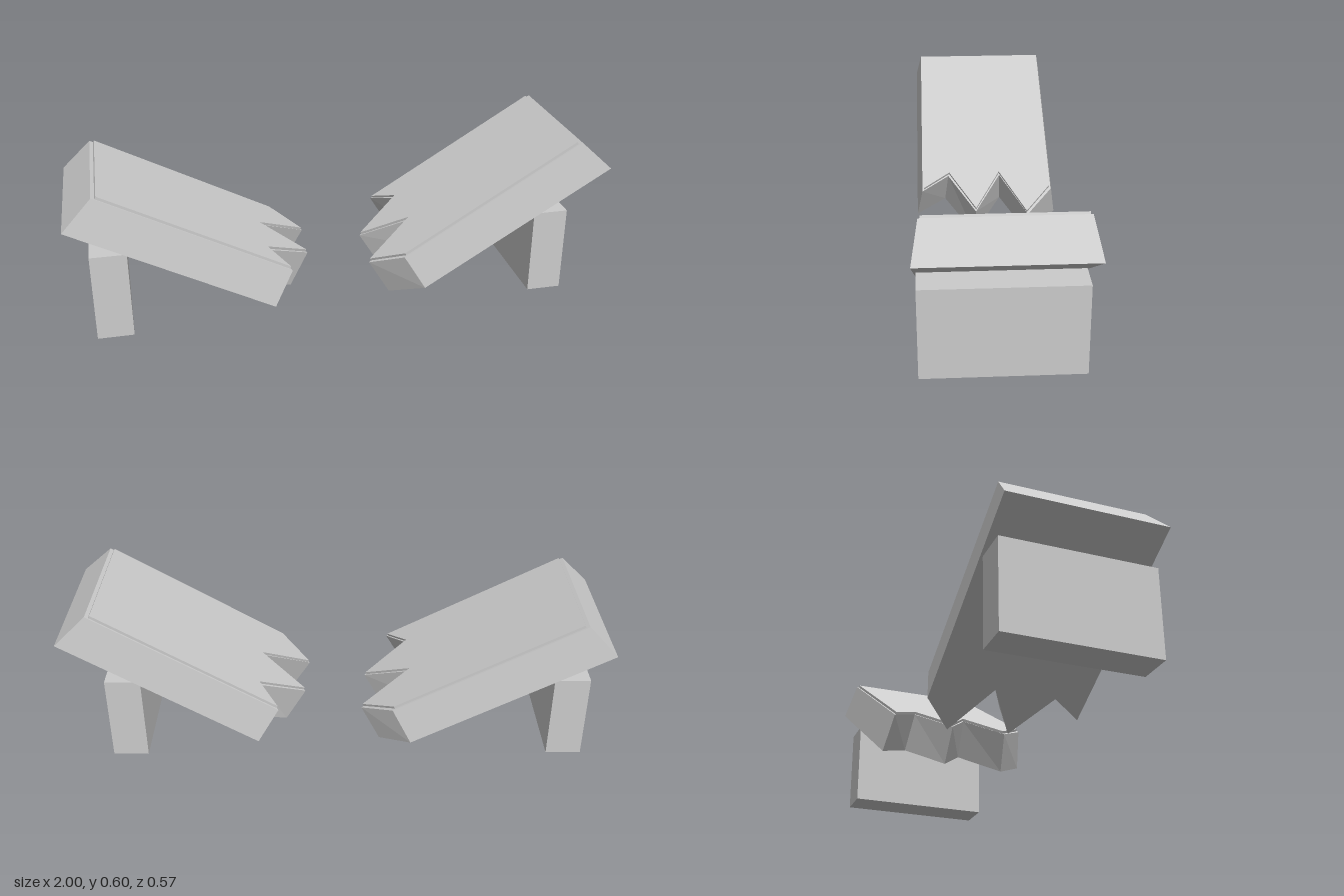
import * as THREE from 'three';

const material = new THREE.MeshStandardMaterial({ color: 0xcccccc, flatShading: true });

// Slab outline on its sloping plane: u runs from the outer end to the break, z across
const HALF_WIDTH = 0.262;
const CROSS = [-HALF_WIDTH, -0.16, -0.055, 0.048, 0.155, HALF_WIDTH];

// Extrudes the outline from height h0 to h1, then lets the sides and outer end flare
function layer(name, breakU, h0, h1, flip, outerU, widthScale, flare, endSlant) {
  const points = [[outerU, -HALF_WIDTH]];
  CROSS.forEach((z, i) => points.push([breakU[i], z]));
  points.push([outerU, HALF_WIDTH]);
  const shape = new THREE.Shape(points.map(([u, z]) => new THREE.Vector2(u, z * flip * widthScale)));
  const geometry = new THREE.ExtrudeGeometry(shape, { depth: h1 - h0, bevelEnabled: false });
  const pos = geometry.attributes.position;
  for (let i = 0; i < pos.count; i++) {
    const t = pos.getZ(i) / (h1 - h0);
    const isOuter = pos.getX(i) < outerU + 0.001;
    pos.setXYZ(
      i,
      pos.getX(i) + (isOuter ? endSlant * t : 0),
      pos.getY(i) * (1 + flare * (1 - t)),
      pos.getZ(i) + h0
    );
  }
  geometry.computeVertexNormals();
  const mesh = new THREE.Mesh(geometry, material);
  mesh.name = name;
  return mesh;
}

// One sloping half: side is +1 for the model's left (+x), -1 for its right
function brokenSlab(name, side, outerY, angle, breakU) {
  const slab = new THREE.Group();
  slab.name = name;
  slab.add(layer('slabBody', breakU, 0, 0.149, side, 0, 1, 0.088, 0.044));
  // thin raised top, inset from the rim
  const inset = breakU.map((u) => u - 0.01);
  slab.add(layer('raisedTop', inset, 0.145, 0.159, side, 0.058, 0.975, 0, 0));

  const along = new THREE.Vector3(-side * Math.cos(angle), -Math.sin(angle), 0);
  const normal = new THREE.Vector3(-side * Math.sin(angle), Math.cos(angle), 0);
  const across = new THREE.Vector3().crossVectors(normal, along);
  slab.quaternion.setFromRotationMatrix(new THREE.Matrix4().makeBasis(along, across, normal));
  slab.position.set(side, outerY, 0);
  return slab;
}

function leg(name, x) {
  const mesh = new THREE.Mesh(new THREE.BoxGeometry(0.13, 0.328, 0.552), material);
  mesh.name = name;
  mesh.position.set(x, 0.174, 0);
  return mesh;
}

export function createModel() {
  const model = new THREE.Group();
  model.name = 'brokenBench';

  // the jagged breaks interlock: a tooth on one half meets a notch on the other
  model.add(brokenSlab('leftSlab', 1, 0.5, 0.544, [0.823, 0.741, 0.935, 0.741, 0.95, 0.823]));
  model.add(brokenSlab('rightSlab', -1, 0.446, 0.483, [0.82, 0.947, 0.742, 0.928, 0.742, 0.82]));

  model.add(leg('leftLeg', 0.78));
  model.add(leg('rightLeg', -0.855));
  return model;
}
